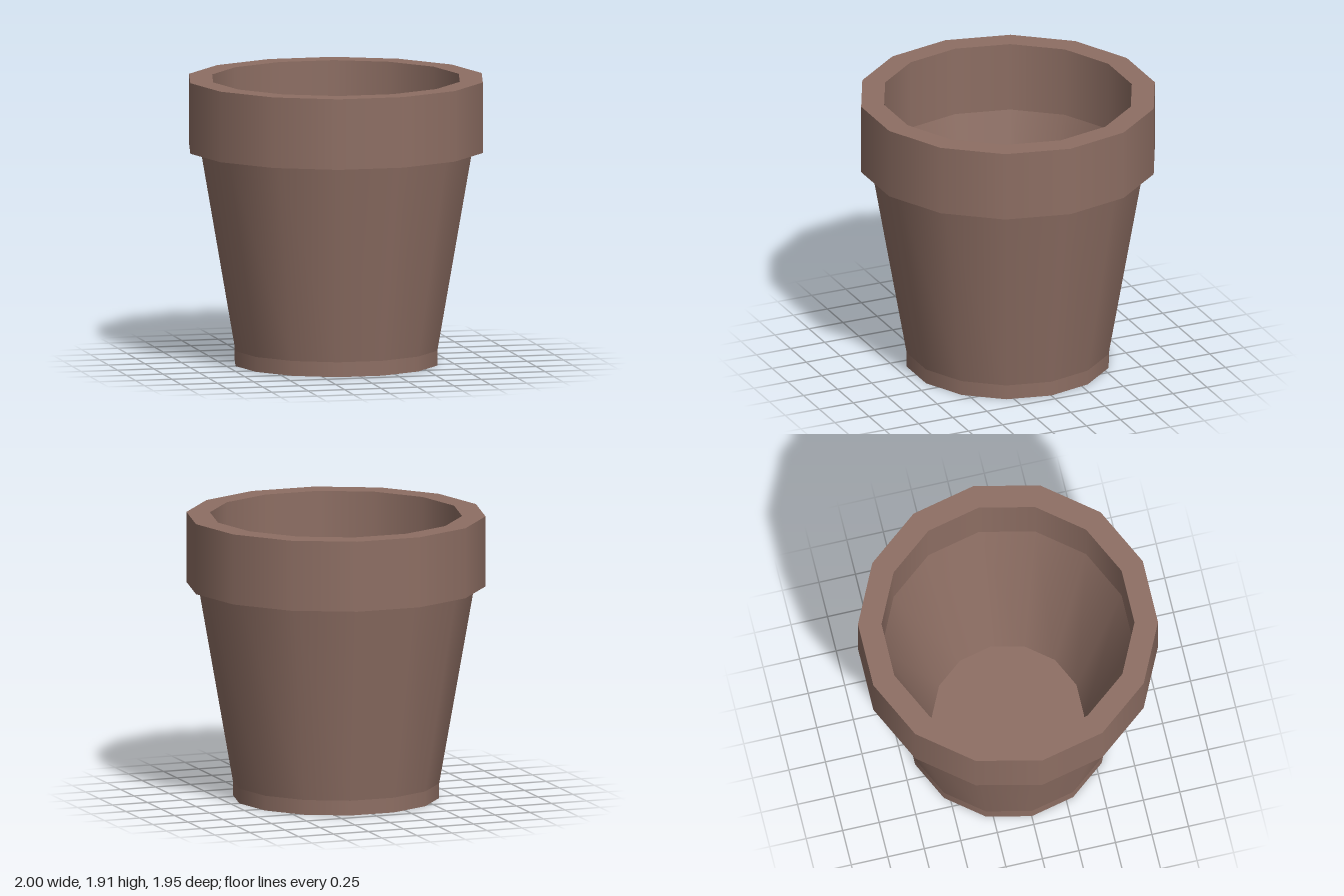
import * as THREE from 'three';
import { mergeGeometries } from 'three/addons/utils/BufferGeometryUtils.js';

const SIDES = 14;

// Revolve each profile segment separately: smooth around, crisp between bands.
function revolve(profile) {
  const bands = [];
  for (let i = 0; i < profile.length - 1; i++) {
    const pts = [profile[i], profile[i + 1]].map(([r, y]) => new THREE.Vector2(r, y));
    bands.push(new THREE.LatheGeometry(pts, SIDES, Math.PI / 2));
  }
  return mergeGeometries(bands);
}

export function createModel() {
  const group = new THREE.Group();
  group.name = 'flowerPot';
  const clay = new THREE.MeshStandardMaterial({ color: 0x8d6e63 });

  const add = (name, profile) => {
    const mesh = new THREE.Mesh(revolve(profile), clay);
    mesh.name = name;
    group.add(mesh);
  };

  // Base, short straight foot and tapered outer wall
  add('body', [[0, 0], [0.69, 0], [0.69, 0.1], [0.925, 1.44]]);
  // Thick collar: underside, outer face, top and straight inner face
  add('rim', [[0.925, 1.44], [1, 1.44], [1, 1.915], [0.843, 1.915], [0.843, 1.44]]);
  // Tapered inner wall and floor
  add('interior', [[0.843, 1.44], [0.508, 0.1], [0, 0.1]]);

  return group;
}
